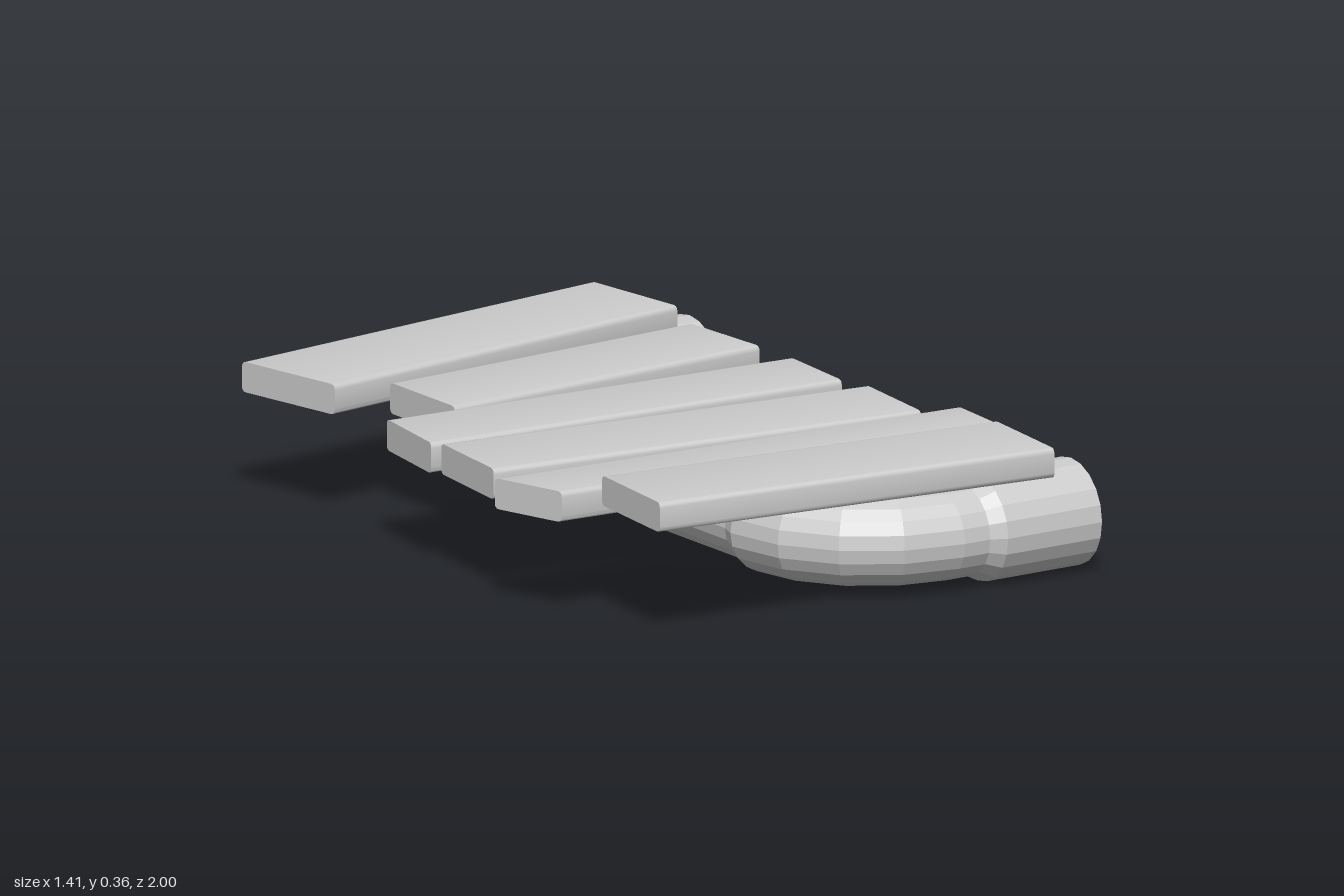
import * as THREE from 'three';
import { toCreasedNormals } from 'three/addons/utils/BufferGeometryUtils.js';

const PIPE_Y = 0.135, PIPE_X = 0.01, BEND = 0.3, SIDES = 20;

// Stations of one pipe end, from the open socket to the straight run.
// sign is +1 for the front end and -1 for the back; z is the socket's axis.
function pipeEnd(z, sign) {
  const stations = [[0.705, 0.135], [0.425, 0.135], [0.385, 0.115]]
    .map(([x, r]) => ({ x, z, r, tx: -sign, tz: 0 }));
  const cx = PIPE_X + BEND, cz = z - sign * BEND;
  for (let i = 0; i <= 4; i++) {
    const a = (i / 4) * Math.PI / 2;
    stations.push({
      x: cx - BEND * Math.sin(a), z: cz + sign * BEND * Math.cos(a), r: 0.115,
      tx: -sign * Math.cos(a), tz: -Math.sin(a),
    });
  }
  stations.push({ x: PIPE_X, z: cz - sign * 0.045, r: 0.1, tx: 0, tz: -1 });
  return stations;
}

// Hollow U-shaped pipe swept through the stations
function pipeGeometry() {
  const stations = [...pipeEnd(0.8, 1), ...pipeEnd(-0.85, -1).reverse()];
  const positions = [], index = [], row = SIDES + 1;
  stations.forEach(({ x, z, r, tx, tz }, i) => {
    for (let j = 0; j <= SIDES; j++) {
      const a = (j / SIDES) * Math.PI * 2, s = r * Math.sin(a);
      positions.push(x - tz * s, PIPE_Y + r * Math.cos(a), z + tx * s);
      if (i < stations.length - 1 && j < SIDES) {
        const k = i * row + j;
        index.push(k, k + 1, k + row, k + 1, k + row + 1, k + row);
      }
    }
  });
  const geometry = new THREE.BufferGeometry();
  geometry.setAttribute('position', new THREE.Float32BufferAttribute(positions, 3));
  geometry.setIndex(index);
  geometry.computeVertexNormals();
  return geometry;
}

// Plank with rounded long edges, fitted to four plan corners:
// left back, right back, right front, left front as [x, z]
function plankGeometry(y0, y1, [lb, rb, rf, lf]) {
  const w = Math.hypot(lb[0] - lf[0], lb[1] - lf[1]), h = y1 - y0, r = 0.014;
  const section = new THREE.Shape();
  section.moveTo(r, 0);
  section.lineTo(w - r, 0);
  section.quadraticCurveTo(w, 0, w, r);
  section.lineTo(w, h - r);
  section.quadraticCurveTo(w, h, w - r, h);
  section.lineTo(r, h);
  section.quadraticCurveTo(0, h, 0, h - r);
  section.lineTo(0, r);
  section.quadraticCurveTo(0, 0, r, 0);
  const geometry = new THREE.ExtrudeGeometry(section, { depth: 1, bevelEnabled: false, curveSegments: 3 });
  const p = geometry.attributes.position, mix = THREE.MathUtils.lerp;
  for (let i = 0; i < p.count; i++) {
    // v runs from front to back, u from left to right in plan
    const v = p.getX(i) / w, u = p.getZ(i);
    const at = (k) => mix(mix(lf[k], lb[k], v), mix(rf[k], rb[k], v), u);
    p.setXYZ(i, at(0), y0 + p.getY(i), at(1));
  }
  // The plan mapping mirrors the section, so make sure faces point outwards
  const a = new THREE.Vector3(), b = new THREE.Vector3(), c = new THREE.Vector3();
  let volume = 0;
  for (let i = 0; i < p.count; i += 3) {
    a.fromBufferAttribute(p, i);
    b.fromBufferAttribute(p, i + 1);
    c.fromBufferAttribute(p, i + 2);
    volume += a.dot(b.cross(c));
  }
  if (volume < 0) {
    for (let i = 0; i < p.count; i += 3) {
      b.fromBufferAttribute(p, i + 1);
      c.fromBufferAttribute(p, i + 2);
      p.setXYZ(i + 1, c.x, c.y, c.z);
      p.setXYZ(i + 2, b.x, b.y, b.z);
    }
  }
  geometry.computeVertexNormals();
  return toCreasedNormals(geometry, Math.PI / 5);
}

// Planks from back to front: bottom, top, plan corners
const PLANKS = [
  [0.275, 0.352, [[-0.625, -0.86], [0.515, -1.0], [0.555, -0.685], [-0.565, -0.545]]],
  [0.255, 0.333, [[-0.4, -0.545], [0.527, -0.595], [0.545, -0.315], [-0.4, -0.265]]],
  [0.255, 0.333, [[-0.605, -0.262], [0.547, -0.185], [0.527, 0.067], [-0.645, -0.012]]],
  [0.255, 0.333, [[-0.625, 0.003], [0.55, 0.14], [0.52, 0.42], [-0.66, 0.28]]],
  [0.255, 0.333, [[-0.705, 0.35], [0.62, 0.435], [0.605, 0.632], [-0.645, 0.553]]],
  [0.288, 0.364, [[-0.54, 0.575], [0.552, 0.692], [0.52, 0.997], [-0.573, 0.873]]],
];

export function createModel() {
  const model = new THREE.Group();
  model.name = 'plankPlatform';

  const pipe = new THREE.Mesh(pipeGeometry(), new THREE.MeshStandardMaterial({
    color: 0xcccccc, flatShading: true, side: THREE.DoubleSide,
  }));
  pipe.name = 'pipe';
  model.add(pipe);

  const wood = new THREE.MeshStandardMaterial({ color: 0xcccccc });
  PLANKS.forEach(([y0, y1, corners], i) => {
    const plank = new THREE.Mesh(plankGeometry(y0, y1, corners), wood);
    plank.name = `plank${i + 1}`;
    model.add(plank);
  });
  return model;
}
